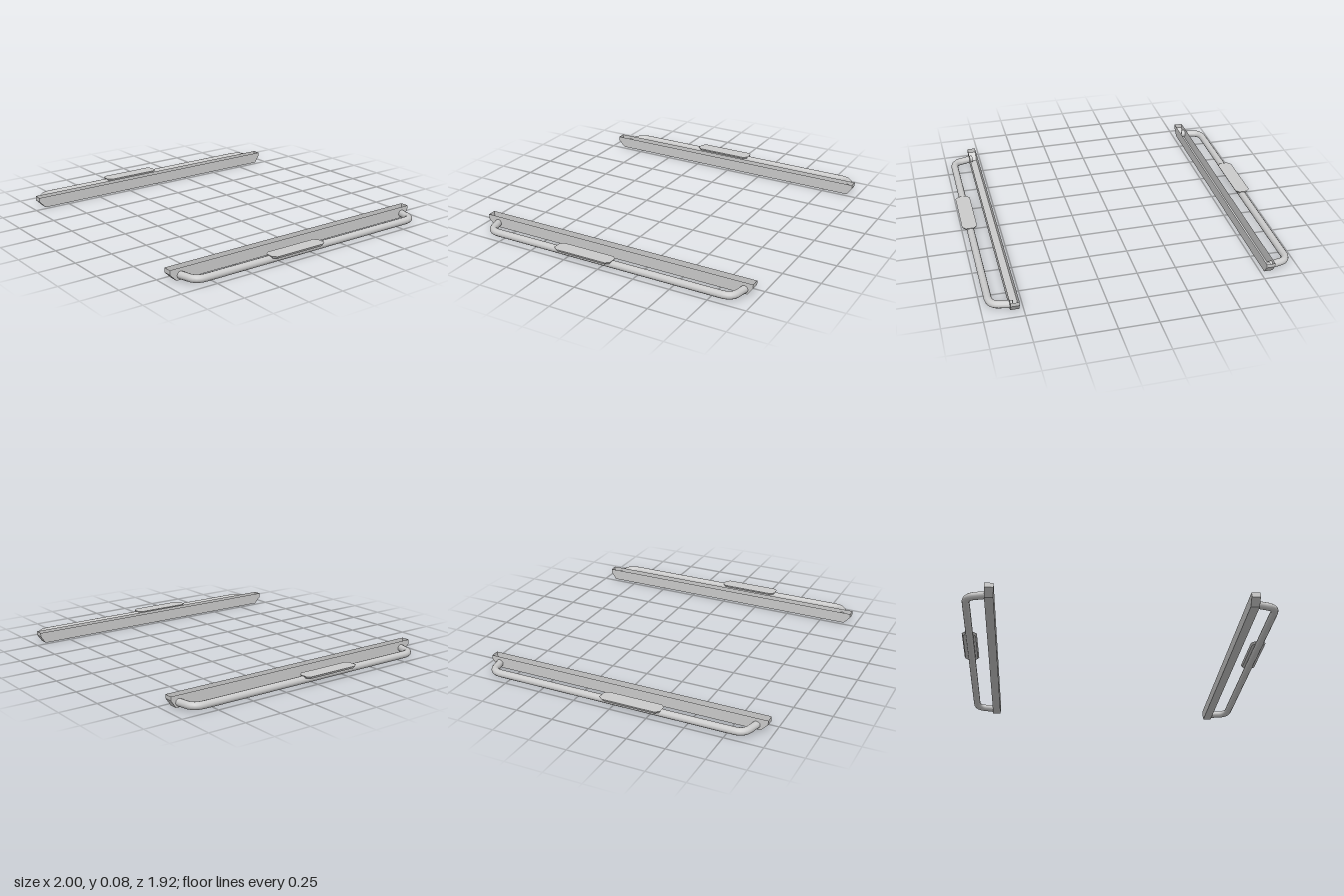
import * as THREE from 'three';
import { mergeGeometries } from 'three/addons/utils/BufferGeometryUtils.js';

const flat = new THREE.MeshStandardMaterial({ color: 0xcccccc, flatShading: true, side: THREE.DoubleSide });
const smooth = new THREE.MeshStandardMaterial({ color: 0xcccccc, side: THREE.DoubleSide });

// side outline of the rail as [z, y], from front top, under, to back top
const RAIL = [[0.96, 0.075], [0.96, 0.045], [0.915, 0], [-0.925, 0], [-0.96, 0.05], [-0.96, 0.075]];
const RAIL_WIDTH = 0.055;

function makeMesh(name, geometry, material) {
  const mesh = new THREE.Mesh(geometry, material);
  mesh.name = name;
  return mesh;
}

// thin-walled channel, open at the top, with slanted ends
function railGeometry() {
  const floor = new THREE.PlaneGeometry(RAIL_WIDTH, 1, 1, RAIL.length - 1);
  const p = floor.attributes.position;
  for (let i = 0; i < p.count; i++) {
    const [z, y] = RAIL[Math.floor(i / 2)];
    p.setXYZ(i, p.getX(i), y, z);
  }
  const walls = [1, -1].map((d) => {
    const shape = new THREE.Shape(RAIL.map(([z, y]) => new THREE.Vector2(-d * z, y)));
    return new THREE.ShapeGeometry(shape).rotateY(d * Math.PI / 2).translate(d * RAIL_WIDTH / 2, 0, 0);
  });
  const rail = mergeGeometries([floor, ...walls]).toNonIndexed();
  rail.computeVertexNormals();
  return rail;
}

// bent step tube, its ends running into the rail
function tubeGeometry(s) {
  const v = (x, z) => new THREE.Vector3(s * x, 0.03, z);
  const path = new THREE.CurvePath();
  const front = [v(0.81, 0.892), v(0.885, 0.872), v(0.947, 0.86), v(0.947, 0.79)];
  const back = [v(0.947, -0.81), v(0.947, -0.885), v(0.885, -0.893), v(0.81, -0.908)];
  path.add(new THREE.LineCurve3(front[0], front[1]));
  path.add(new THREE.QuadraticBezierCurve3(front[1], front[2], front[3]));
  path.add(new THREE.LineCurve3(front[3], back[0]));
  path.add(new THREE.QuadraticBezierCurve3(back[0], back[1], back[2]));
  path.add(new THREE.LineCurve3(back[2], back[3]));
  return new THREE.TubeGeometry(path, 120, 0.024, 12, false);
}

// flat tread with cut corners, slightly narrower underneath
function padGeometry() {
  const w = 0.049, l = 0.205, cx = 0.022, cz = 0.025;
  const corners = [[w, l - cz], [w - cx, l], [cx - w, l], [-w, l - cz],
    [-w, cz - l], [cx - w, -l], [w - cx, -l], [w, cz - l]];
  const shape = new THREE.Shape(corners.map(([x, z]) => new THREE.Vector2(x, z)));
  const pad = new THREE.ExtrudeGeometry(shape, { depth: 0.015, bevelEnabled: false }).rotateX(-Math.PI / 2);
  const p = pad.attributes.position;
  for (let i = 0; i < p.count; i++) {
    if (p.getY(i) < 0.005) p.setXYZ(i, p.getX(i) * 0.85, p.getY(i), p.getZ(i) * 0.96);
  }
  pad.computeVertexNormals();
  return pad;
}

export function createModel() {
  const model = new THREE.Group();
  model.name = 'sideSteps';
  for (const s of [1, -1]) {
    const step = new THREE.Group();
    step.name = s > 0 ? 'leftSideStep' : 'rightSideStep';
    const rail = makeMesh('rail', railGeometry(), flat);
    rail.position.x = s * 0.803;
    const pad = makeMesh('stepPad', padGeometry(), flat);
    pad.position.set(s * 0.951, 0.043, 0.127);
    step.add(rail, pad, makeMesh('stepTube', tubeGeometry(s), smooth));
    model.add(step);
  }
  return model;
}
